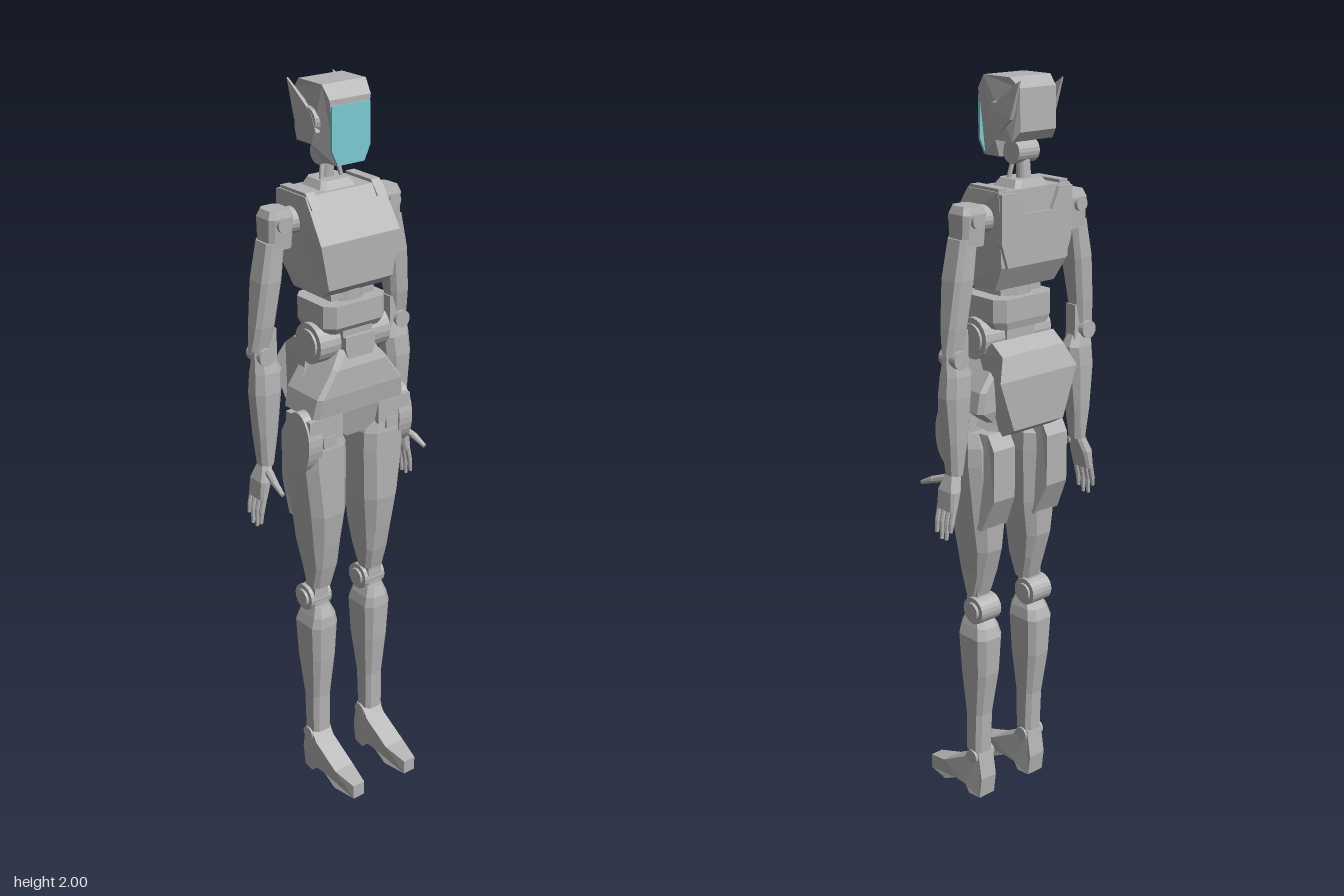
import * as THREE from 'three';

const shell = new THREE.MeshStandardMaterial({ color: 0xb2b2b2 });
shell.name = 'greyShell';
const visorBlue = new THREE.MeshStandardMaterial({ color: 0x7cc8d2 });
visorBlue.name = 'visorBlue';

// Facet a geometry so every face is flat
function facet(geo) {
  const g = geo.index ? geo.toNonIndexed() : geo;
  g.computeVertexNormals();
  return g;
}

// Mirror in x, swapping corners to keep faces outward
function mirrored(geo) {
  const g = geo.clone().scale(-1, 1, 1);
  const p = g.attributes.position;
  const a = new THREE.Vector3(), b = new THREE.Vector3();
  for (let i = 0; i < p.count; i += 3) {
    a.fromBufferAttribute(p, i + 1);
    b.fromBufferAttribute(p, i + 2);
    p.setXYZ(i + 1, b.x, b.y, b.z);
    p.setXYZ(i + 2, a.x, a.y, a.z);
  }
  return facet(g);
}

// Chamfered rectangle sections [y, x0, x1, z0, z1, chamfer], listed bottom to top
function loft(sections) {
  const pos = [], idx = [];
  for (const [y, x0, x1, z0, z1, c = 0.012] of sections) {
    const ring = [[x1, z1 - c], [x1, z0 + c], [x1 - c, z0], [x0 + c, z0],
      [x0, z0 + c], [x0, z1 - c], [x0 + c, z1], [x1 - c, z1]];
    for (const [x, z] of ring) pos.push(x, y, z);
  }
  for (let s = 0; s < sections.length - 1; s++) {
    for (let i = 0; i < 8; i++) {
      const a = s * 8 + i, b = s * 8 + (i + 1) % 8;
      idx.push(a, b, b + 8, a, b + 8, a + 8);
    }
  }
  const top = (sections.length - 1) * 8;
  for (let i = 1; i < 7; i++) idx.push(top, top + i, top + i + 1, 0, i + 1, i);
  const g = new THREE.BufferGeometry();
  g.setAttribute('position', new THREE.Float32BufferAttribute(pos, 3));
  g.setIndex(idx);
  return facet(g);
}

// Side profile of [z, y] points, extruded from x0 to x1
function prism(points, x0, x1) {
  const shape = new THREE.Shape(points.map(([z, y]) => new THREE.Vector2(z, y)));
  const g = new THREE.ExtrudeGeometry(shape, { depth: x1 - x0, bevelEnabled: false });
  return facet(g.rotateY(-Math.PI / 2).translate(x1, 0, 0));
}

// Front profile of [x, y] points, extruded from z0 to z1
function plate(points, z0, z1) {
  const shape = new THREE.Shape(points.map(([x, y]) => new THREE.Vector2(x, y)));
  return facet(new THREE.ExtrudeGeometry(shape, { depth: z1 - z0, bevelEnabled: false }).translate(0, 0, z0));
}

// Scale x about a centre line by a rule of y and z
function taper(geo, rule, cx = 0) {
  const p = geo.attributes.position;
  for (let i = 0; i < p.count; i++) p.setX(i, cx + (p.getX(i) - cx) * rule(p.getY(i), p.getZ(i)));
  return facet(geo);
}

function box(x0, x1, y0, y1, z0, z1) {
  return facet(new THREE.BoxGeometry(x1 - x0, y1 - y0, z1 - z0)
    .translate((x0 + x1) / 2, (y0 + y1) / 2, (z0 + z1) / 2));
}

// Round bar between two points
function rod(a, b, r0, r1 = r0, sides = 20) {
  const A = new THREE.Vector3(...a), B = new THREE.Vector3(...b), d = B.clone().sub(A);
  const g = new THREE.CylinderGeometry(r1, r0, d.length(), sides);
  g.applyQuaternion(new THREE.Quaternion().setFromUnitVectors(new THREE.Vector3(0, 1, 0), d.normalize()));
  return facet(g.translate(...A.add(B).multiplyScalar(0.5).toArray()));
}

export function createModel() {
  const model = new THREE.Group();
  model.name = 'robot';
  const add = (name, geo, mat = shell) => {
    const m = new THREE.Mesh(geo, mat);
    m.name = name;
    model.add(m);
  };
  const pair = (name, geo) => {
    add(name + 'Left', geo);
    add(name + 'Right', mirrored(geo));
  };

  // Head, visor and ears
  add('head', taper(prism([[0, 1.8], [0, 1.965], [-0.025, 2], [-0.12, 2], [-0.148, 1.975], [-0.15, 1.87],
    [-0.13, 1.845], [-0.068, 1.845], [-0.058, 1.8]], -0.068, 0.068),
  (y, z) => (y < 1.82 ? 0.66 : 1) * (z > -0.01 ? 0.94 : z < -0.14 ? 0.88 : 1)));
  add('visor', plate([[-0.042, 1.802], [0.042, 1.802], [0.06, 1.84], [0.06, 1.95], [-0.06, 1.95], [-0.06, 1.84]],
    -0.003, 0.004), visorBlue);
  pair('earDisc', rod([0.06, 1.905, -0.075], [0.075, 1.905, -0.075], 0.04, 0.032));
  pair('earFin', taper(prism([[-0.04, 1.88], [-0.09, 1.865], [-0.13, 1.9], [-0.161, 1.995], [-0.06, 1.925]],
    0.062, 0.076), (y) => (y > 1.98 ? 0.35 : 1), 0.073));

  // Neck
  add('neckPivot', rod([-0.035, 1.815, -0.09], [0.035, 1.815, -0.09], 0.03));
  add('neckColumn', rod([0, 1.72, -0.1], [0, 1.81, -0.095], 0.02, 0.017));
  pair('neckStrut', rod([0.035, 1.73, -0.075], [0.022, 1.8, -0.085], 0.006, 0.006, 8));
  add('neckCollar', loft([[1.725, -0.06, 0.06, -0.14, -0.035], [1.75, -0.045, 0.045, -0.13, -0.05]]));

  // Chest with back panel
  add('chest', taper(prism([[0.015, 1.475], [0.045, 1.5], [0.045, 1.62], [-0.025, 1.73], [-0.14, 1.73],
    [-0.142, 1.54], [-0.105, 1.475]], -0.13, 0.13),
  (y, z) => (y < 1.51 ? 0.79 : y < 1.56 ? 0.88 : y > 1.7 ? 0.94 : 1) * (z > 0.03 && y > 1.6 ? 0.97 : 1)));
  add('backPanel', plate([[-0.1, 1.54], [0.1, 1.54], [0.12, 1.6], [0.12, 1.725], [0.075, 1.725],
    [0.05, 1.67], [-0.05, 1.67], [-0.075, 1.725], [-0.12, 1.725], [-0.12, 1.6]], -0.151, -0.13));
  pair('chestRail', prism([[0.0, 1.70], [-0.03, 1.738], [-0.135, 1.738], [-0.135, 1.70]], 0.09, 0.118));

  // Waist and hip drives
  add('waistDisc', rod([0, 1.43, -0.04], [0, 1.485, -0.04], 0.06));
  add('waistBrace', box(-0.07, 0.07, 1.455, 1.47, -0.09, 0.01));
  add('waistBlock', loft([[1.37, -0.088, 0.088, -0.115, 0.025, 0.02], [1.39, -0.1, 0.1, -0.12, 0.04, 0.025],
    [1.45, -0.1, 0.1, -0.12, 0.04, 0.025]]));
  add('waistCore', box(-0.048, 0.048, 1.27, 1.39, -0.09, 0.03));
  add('waistClasp', plate([[-0.035, 1.28], [0.035, 1.28], [0.048, 1.33], [0.048, 1.36], [-0.048, 1.36],
    [-0.048, 1.33]], 0.02, 0.043));
  pair('hipDrive', rod([0.045, 1.34, -0.03], [0.115, 1.34, -0.03], 0.055));
  pair('hipDriveCap', rod([0.115, 1.34, -0.03], [0.122, 1.34, -0.03], 0.04));

  // Pelvis
  add('pelvis', loft([[1.075, -0.045, 0.045, -0.08, 0.025], [1.155, -0.15, 0.15, -0.1, 0.045],
    [1.21, -0.14, 0.14, -0.1, 0.052], [1.28, -0.09, 0.09, -0.1, 0.05], [1.325, -0.055, 0.055, -0.09, 0.035]]));
  add('pelvisBack', taper(prism([[-0.05, 1.12], [-0.11, 1.085], [-0.162, 1.115], [-0.162, 1.25], [-0.14, 1.31],
    [-0.1, 1.34], [-0.05, 1.3]], -0.135, 0.135), (y) => (y < 1.12 ? 0.65 : y > 1.29 ? 0.8 : 1)));

  // Legs
  pair('hipDisc', facet(new THREE.CylinderGeometry(0.052, 0.052, 0.045, 28).rotateZ(Math.PI / 2)
    .scale(1, 1.65, 1).translate(0.152, 1.085, -0.002)));
  pair('hipHousing', box(0.06, 0.168, 1.09, 1.155, -0.06, 0.046));
  pair('hipLatch', box(0.085, 0.125, 1.07, 1.1, 0.03, 0.049));
  pair('thigh', loft([[0.62, 0.06, 0.122, -0.05, 0.002], [0.69, 0.052, 0.125, -0.07, 0.02],
    [0.76, 0.045, 0.135, -0.09, 0.032, 0.02], [0.86, 0.033, 0.148, -0.095, 0.045, 0.025],
    [1.01, 0.03, 0.165, -0.095, 0.045, 0.025], [1.06, 0.032, 0.165, -0.095, 0.045, 0.025],
    [1.1, 0.05, 0.16, -0.08, 0.04, 0.02]]));
  pair('rearThighBlock', taper(prism([[-0.06, 1.1], [-0.06, 0.83], [-0.092, 0.83], [-0.133, 0.92], [-0.133, 1.06],
    [-0.11, 1.1]], 0.05, 0.14), (y, z) => (z < -0.1 ? 0.82 : 1), 0.095));
  pair('kneeDrum', rod([0.06, 0.58, -0.045], [0.13, 0.58, -0.045], 0.038));
  pair('kneeCap', rod([0.053, 0.58, -0.045], [0.138, 0.58, -0.045], 0.025));
  pair('kneeLink', box(0.072, 0.118, 0.52, 0.64, -0.05, -0.008));
  pair('shin', loft([[0.14, 0.066, 0.125, -0.058, 0], [0.26, 0.065, 0.125, -0.063, 0.001],
    [0.39, 0.055, 0.133, -0.084, 0.015, 0.016], [0.5, 0.05, 0.138, -0.09, 0.021, 0.018],
    [0.53, 0.056, 0.13, -0.08, 0.018, 0.016], [0.56, 0.068, 0.12, -0.06, 0.006]]));
  pair('ankle', rod([0.06, 0.125, -0.035], [0.13, 0.125, -0.035], 0.02));
  pair('foot', taper(prism([[0.16, 0], [0.16, 0.042], [0.09, 0.06], [0.0, 0.11], [-0.02, 0.14], [-0.055, 0.14],
    [-0.068, 0.06], [-0.06, 0], [-0.02, 0], [-0.005, 0.022], [0.04, 0.024], [0.085, 0]], 0.062, 0.126),
  (y, z) => (z > 0.12 ? 0.6 : z < -0.05 ? 0.85 : 1), 0.094));

  // Shoulders and arms
  pair('shoulderAxle', rod([0.11, 1.66, -0.083], [0.16, 1.66, -0.083], 0.035));
  pair('shoulderPivot', rod([0.177, 1.665, -0.131], [0.177, 1.665, -0.035], 0.019));
  pair('shoulder', loft([[1.6, 0.14, 0.212, -0.118, -0.048], [1.68, 0.136, 0.212, -0.122, -0.044],
    [1.7, 0.146, 0.204, -0.116, -0.05]]));
  pair('upperArm', loft([[1.335, 0.2, 0.258, -0.106, -0.068], [1.4, 0.192, 0.252, -0.113, -0.056],
    [1.52, 0.175, 0.238, -0.12, -0.046], [1.62, 0.162, 0.218, -0.118, -0.048]]));
  pair('elbowPivot', rod([0.225, 1.32, -0.118], [0.225, 1.32, -0.055], 0.024));
  pair('elbowLink', box(0.188, 0.212, 1.25, 1.39, -0.1, -0.066));
  pair('forearm', loft([[1.01, 0.202, 0.242, -0.105, -0.058], [1.1, 0.192, 0.25, -0.111, -0.052],
    [1.22, 0.178, 0.26, -0.116, -0.046, 0.018], [1.275, 0.173, 0.256, -0.114, -0.05, 0.018],
    [1.34, 0.203, 0.25, -0.1, -0.066]]));

  // Hands
  pair('palm', loft([[0.92, 0.236, 0.26, -0.114, -0.05, 0.006], [0.97, 0.222, 0.256, -0.114, -0.048, 0.008],
    [1.015, 0.208, 0.24, -0.1, -0.062, 0.008]]));
  [-0.054, -0.073, -0.092, -0.109].forEach((z, i) => {
    const tip = [0.852, 0.838, 0.84, 0.865][i];
    pair('fingerBase' + i, rod([0.247, 0.93, z], [0.257, 0.885, z], 0.008, 0.0075, 8));
    pair('fingerTip' + i, rod([0.257, 0.888, z], [0.26, tip, z], 0.0075, 0.005, 8));
  });
  pair('thumbBase', rod([0.228, 0.995, -0.06], [0.239, 0.982, -0.018], 0.012, 0.01, 8));
  pair('thumbTip', rod([0.239, 0.982, -0.018], [0.243, 0.963, 0.025], 0.01, 0.006, 8));

  return model;
}
